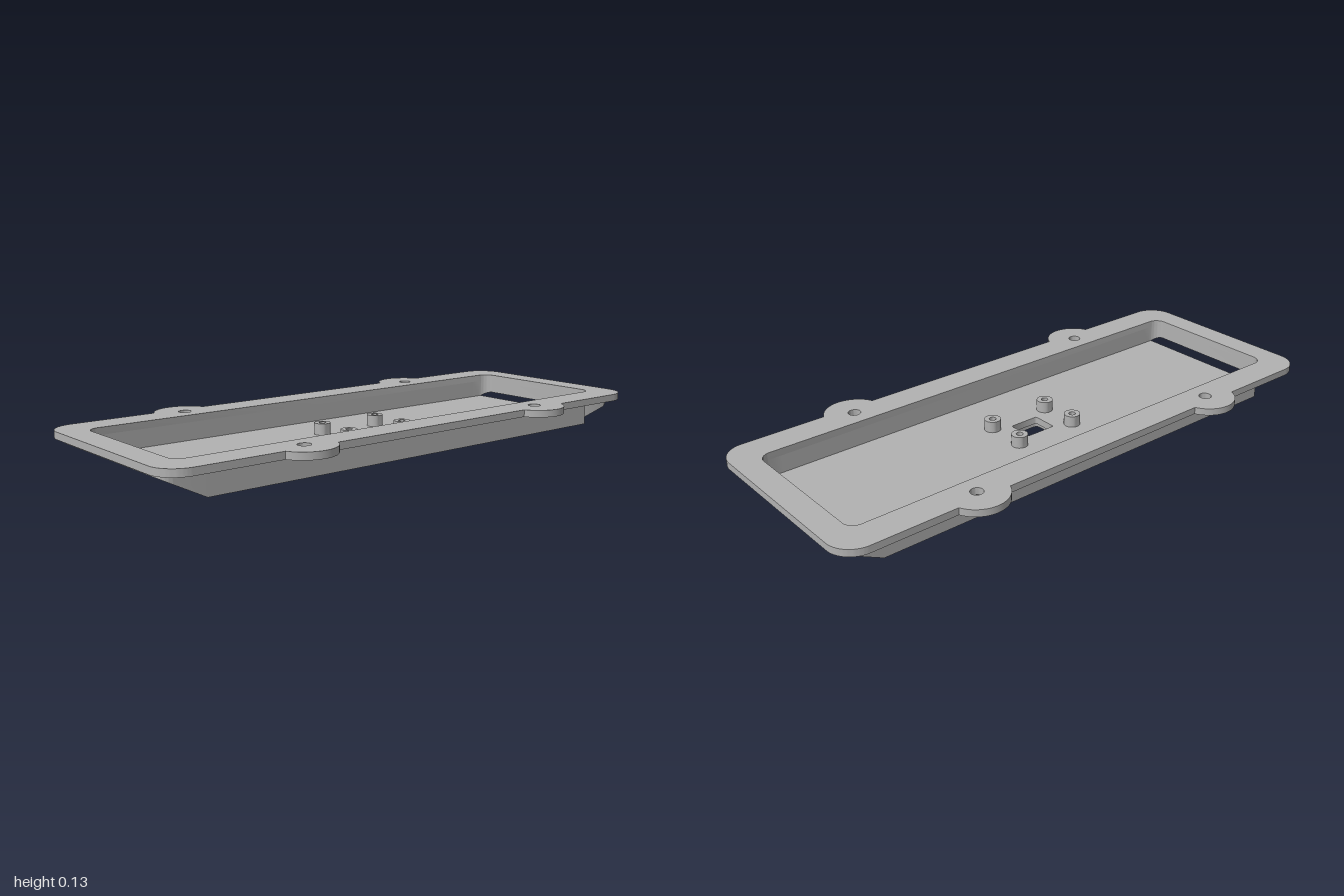
import * as THREE from 'three';
import { toCreasedNormals } from 'three/addons/utils/BufferGeometryUtils.js';

const PI = Math.PI;
// main heights
const FLOOR_BOTTOM = 0.019, FLOOR_TOP = 0.0445, FLANGE_BOTTOM = 0.107, FLANGE_TOP = 0.132;
// half sizes of the opening, the tray and the flat underside
const IN_X = 0.91, IN_Z = 0.275, OUT_X = 0.98, OUT_Z = 0.318, FLAT_X = 0.83;
// underside of the sloping ends
const slopeY = (x) => FLOOR_BOTTOM + (x - FLAT_X) * 0.507;

// rounded rectangle, given by half sizes, as a Shape or as a hole Path
function roundRect(hx, hz, r, Type = THREE.Shape) {
  const p = new Type();
  p.moveTo(-hx + r, -hz);
  p.absarc(hx - r, -hz + r, r, -PI / 2, 0);
  p.absarc(hx - r, hz - r, r, 0, PI / 2);
  p.absarc(-hx + r, hz - r, r, PI / 2, PI);
  p.absarc(-hx + r, -hz + r, r, PI, PI * 1.5);
  p.closePath();
  return p;
}

function circle(x, z, r, Type = THREE.Path) {
  const p = new Type();
  p.absarc(x, z, r, 0, PI * 2);
  return p;
}

// extrude a plan shape upward between two heights, optionally moving vertices by a rule
function slab(shape, y0, y1, rule) {
  const g = new THREE.ExtrudeGeometry(shape, { depth: y1 - y0, bevelEnabled: false, curveSegments: 12 });
  g.rotateX(-PI / 2).translate(0, y0, 0);
  if (rule) {
    const p = g.attributes.position, v = new THREE.Vector3();
    for (let i = 0; i < p.count; i++) {
      rule(v.fromBufferAttribute(p, i), v.y < (y0 + y1) / 2);
      p.setXYZ(i, v.x, v.y, v.z);
    }
    g.computeVertexNormals();
  }
  return toCreasedNormals(g, 0.6);
}

export function createModel() {
  const model = new THREE.Group();
  model.name = 'mountingTray';
  const grey = new THREE.MeshStandardMaterial({ color: 0xb2b2b2 });
  grey.name = 'grey';
  const add = (name, geometry, x = 0, y = 0, z = 0) => {
    const m = new THREE.Mesh(geometry, grey);
    m.name = name;
    m.position.set(x, y, z);
    model.add(m);
    return m;
  };

  // flange with four rounded screw tabs
  const FX = 1, FZ = 0.385, FR = 0.09, TX = 0.51, TZ = 0.345, TR = 0.105;
  const a = Math.asin((FZ - TZ) / TR);
  const f = new THREE.Shape();
  f.moveTo(-FX + FR, -FZ);
  for (const x of [-TX, TX]) f.absarc(x, -TZ, TR, PI + a, 2 * PI - a);
  f.absarc(FX - FR, -FZ + FR, FR, -PI / 2, 0);
  f.absarc(FX - FR, FZ - FR, FR, 0, PI / 2);
  for (const x of [TX, -TX]) f.absarc(x, TZ, TR, a, PI - a);
  f.absarc(-FX + FR, FZ - FR, FR, PI / 2, PI);
  f.absarc(-FX + FR, -FZ + FR, FR, PI, PI * 1.5);
  f.holes.push(roundRect(IN_X, IN_Z, 0.04, THREE.Path));
  for (const x of [-TX, TX]) for (const z of [-TZ, TZ]) f.holes.push(circle(x, z, 0.022));
  add('flange', slab(f, FLANGE_BOTTOM, FLANGE_TOP));

  // long side walls
  const wallH = FLANGE_BOTTOM - FLOOR_BOTTOM;
  for (const s of [-1, 1]) {
    add('sideWall', new THREE.BoxGeometry(FLAT_X * 2, wallH, OUT_Z - IN_Z),
      0, FLOOR_BOTTOM + wallH / 2, s * (OUT_Z + IN_Z) / 2);
  }

  // end walls: C-shaped in plan, cut off below by the slope
  const ro = 0.045, ri = 0.04;
  const c = new THREE.Shape();
  c.moveTo(FLAT_X, -OUT_Z);
  c.absarc(OUT_X - ro, -OUT_Z + ro, ro, -PI / 2, 0);
  c.absarc(OUT_X - ro, OUT_Z - ro, ro, 0, PI / 2);
  c.lineTo(FLAT_X, OUT_Z);
  c.lineTo(FLAT_X, IN_Z);
  c.absarc(IN_X - ri, IN_Z - ri, ri, PI / 2, 0, true);
  c.absarc(IN_X - ri, -IN_Z + ri, ri, 0, -PI / 2, true);
  c.lineTo(FLAT_X, -IN_Z);
  const endGeo = slab(c, FLOOR_BOTTOM, FLANGE_BOTTOM, (v, low) => { if (low) v.y = slopeY(v.x); });
  add('endWall', endGeo);
  add('endWall', endGeo).rotation.y = PI;

  // floor with a window; its bevelled ends stop short of the end walls, leaving slots
  const floorX = FLAT_X + (FLOOR_TOP - FLOOR_BOTTOM) / 0.507;
  const floor = new THREE.Shape([[-1, -1], [1, -1], [1, 1], [-1, 1]]
    .map(([x, z]) => new THREE.Vector2(x * floorX, z * IN_Z)));
  floor.holes.push(roundRect(0.056, 0.047, 0.006, THREE.Path));
  add('floor', slab(floor, FLOOR_BOTTOM, FLOOR_TOP, (v, low) => {
    if (low && Math.abs(v.x) > 0.5) v.x = Math.sign(v.x) * FLAT_X;
  }));

  // hollow standoffs around the window
  const post = circle(0, 0, 0.029, THREE.Shape);
  post.holes.push(circle(0, 0, 0.012));
  const postGeo = slab(post, FLOOR_TOP, 0.085);
  for (const x of [-0.12, 0.12]) for (const z of [-0.074, 0.074]) add('standoff', postGeo, x, 0, z);

  // frame below the window
  const frame = roundRect(0.1, 0.085, 0.03);
  frame.holes.push(roundRect(0.07, 0.058, 0.018, THREE.Path));
  add('windowFrame', slab(frame, 0, FLOOR_BOTTOM));

  // round-ended rails on the underside
  const railGeo = slab(roundRect(0.735, 0.0175, 0.0174), 0.005, FLOOR_BOTTOM);
  for (const s of [-1, 1]) add('rail', railGeo, 0, 0, s * 0.182);

  return model;
}
